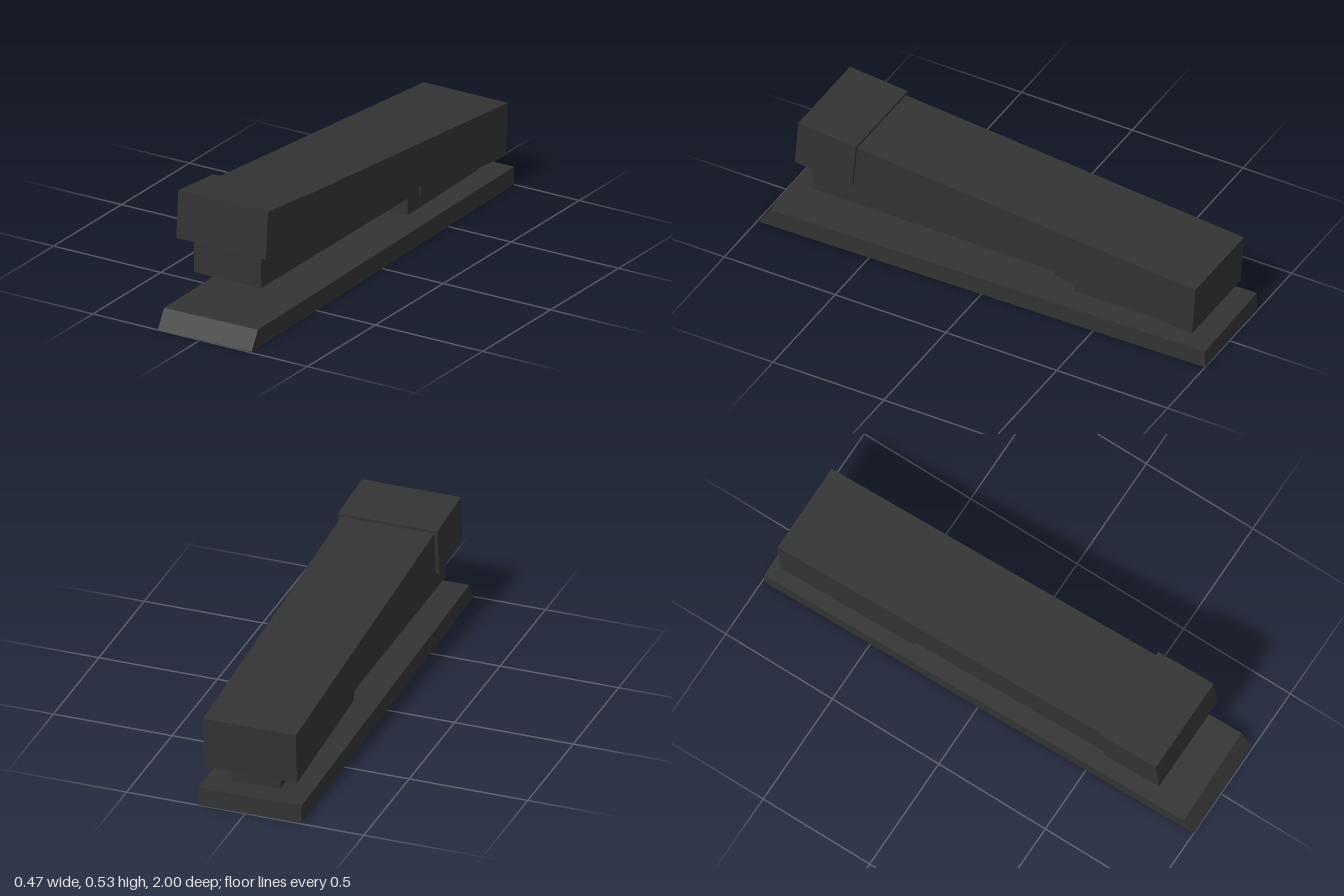
import * as THREE from 'three';

export function createModel() {
  const model = new THREE.Group();
  const charcoal = new THREE.MeshStandardMaterial({ color: 0x333333 });
  charcoal.name = 'charcoal';

  // Side outline of [z, y] points extruded from x0 to x1
  function slab(name, x0, x1, points, parent = model) {
    const shape = new THREE.Shape(points.map(([z, y]) => new THREE.Vector2(z, y)));
    const geometry = new THREE.ExtrudeGeometry(shape, { depth: x1 - x0, bevelEnabled: false });
    geometry.rotateY(-Math.PI / 2).translate(x1, 0, 0);
    const mesh = new THREE.Mesh(geometry, charcoal);
    mesh.name = name;
    parent.add(mesh);
    return mesh;
  }

  // Base plate with a sloped front edge, turned slightly
  const base = slab('basePlate', -0.216, 0.216,
    [[-0.996, 0], [0.996, 0], [0.948, 0.077], [-0.996, 0.077]]);
  base.rotation.y = 0.019;

  // Hinge post between base and arm
  const post = slab('hingePost', -0.101, 0.101,
    [[-0.27, 0.07], [0.27, 0.07], [0.27, 0.27], [-0.27, 0.22]]);
  post.position.z = -0.625;
  post.rotation.y = 0.022;

  // Staple magazine under the arm
  slab('magazine', -0.158, 0.154,
    [[-0.355, 0.184], [0.795, 0.184], [0.795, 0.37], [-0.355, 0.37]]);

  // Hollow arm: stepped side walls, top and back wall
  const arm = new THREE.Group();
  arm.name = 'arm';
  model.add(arm);
  const sideOutline = [
    [-0.94, 0.145], [-0.318, 0.2], [-0.315, 0.235],
    [0.6, 0.314], [0.586, 0.499], [-0.955, 0.365],
  ];
  slab('armLeftWall', 0.185, 0.196, sideOutline, arm);
  slab('armRightWall', -0.196, -0.185, sideOutline, arm);
  slab('armTop', -0.185, 0.185,
    [[-0.954, 0.35], [0.587, 0.484], [0.586, 0.499], [-0.955, 0.365]], arm);
  slab('armBackWall', -0.185, 0.185,
    [[-0.94, 0.145], [-0.929, 0.146], [-0.943, 0.352], [-0.954, 0.351]], arm);

  // Larger hollow cap over the front of the arm
  const head = new THREE.Group();
  head.name = 'headCap';
  model.add(head);
  const headOutline = [[0.587, 0.312], [0.845, 0.335], [0.83, 0.533], [0.57, 0.51]];
  slab('headLeftWall', 0.185, 0.209, headOutline, head);
  slab('headRightWall', -0.209, -0.185, headOutline, head);
  slab('headTop', -0.185, 0.185,
    [[0.572, 0.485], [0.832, 0.508], [0.83, 0.533], [0.57, 0.51]], head);
  slab('headFrontWall', -0.185, 0.185,
    [[0.825, 0.333], [0.845, 0.335], [0.832, 0.508], [0.812, 0.506]], head);

  return model;
}
